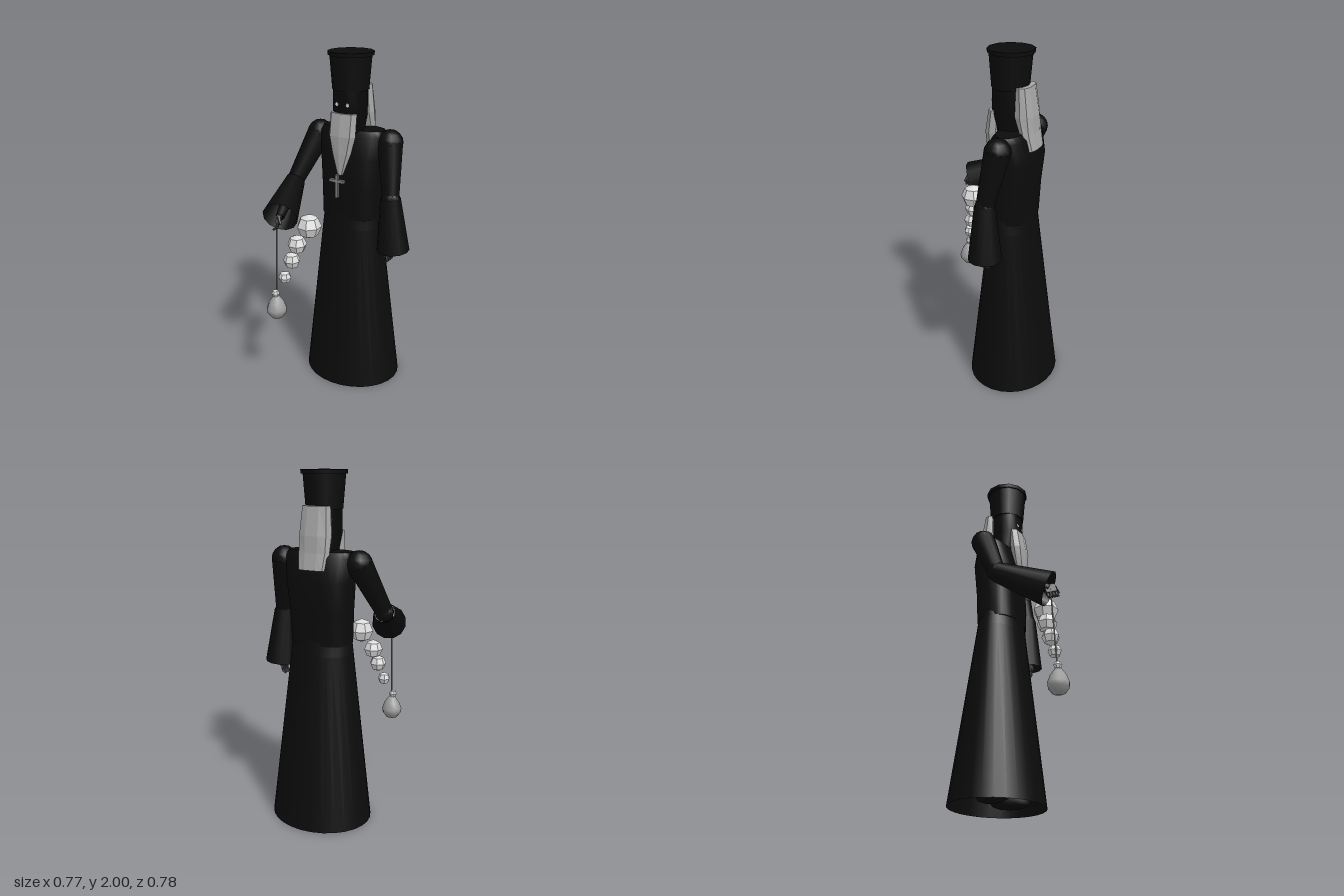
import * as THREE from 'three';

const V = (x, y, z) => new THREE.Vector3(x, y, z);

// Skin between elliptical rings, listed top to bottom as [y, centreZ, radiusX, radiusZ]
function loft(rings, n, { power = 1, top = true, bottom = true } = {}) {
  const pos = [], idx = [];
  const bend = v => Math.sign(v) * Math.pow(Math.abs(v), power);
  const addRing = ([y, cz, rx, rz]) => {
    const start = pos.length / 3;
    for (let j = 0; j < n; j++) {
      const a = (j / n) * Math.PI * 2;
      pos.push(rx * bend(Math.cos(a)), y, cz + rz * bend(Math.sin(a)));
    }
    return start;
  };
  const starts = rings.map(addRing);
  for (let i = 0; i < rings.length - 1; i++) {
    for (let j = 0; j < n; j++) {
      const k = (j + 1) % n, a = starts[i], b = starts[i + 1];
      idx.push(a + j, a + k, b + j, a + k, b + k, b + j);
    }
  }
  const cap = (ring, up) => {
    const s = addRing(ring), c = pos.length / 3;
    pos.push(0, ring[0], ring[1]);
    for (let j = 0; j < n; j++) {
      const k = (j + 1) % n;
      idx.push(c, s + (up ? k : j), s + (up ? j : k));
    }
  };
  if (top) cap(rings[0], true);
  if (bottom) cap(rings[rings.length - 1], false);
  const g = new THREE.BufferGeometry();
  g.setAttribute('position', new THREE.Float32BufferAttribute(pos, 3));
  g.setIndex(idx);
  g.computeVertexNormals();
  return g;
}

export function createModel() {
  const root = new THREE.Group();
  const mat = (name, color, extra = {}) => {
    const m = new THREE.MeshStandardMaterial({ color, ...extra });
    m.name = name;
    return m;
  };
  const black = mat('black cloth', 0x0b0b0b, { side: THREE.DoubleSide });
  const faceMat = mat('dark face', 0x080808);
  const grey = mat('grey hair', 0xa6a6a6, { flatShading: true });
  const metal = mat('dull metal', 0x808080);
  const silver = mat('censer silver', 0x9c9c9c);
  const skin = mat('hand grey', 0x3c3c3c, { flatShading: true });
  const white = mat('smoke white', 0xdcdcdc, { flatShading: true });

  const add = (name, geo, material, p = V(0, 0, 0), parent = root) => {
    const m = new THREE.Mesh(geo, material);
    m.name = name;
    m.position.copy(p);
    parent.add(m);
    return m;
  };
  // Tapered tube from a to b
  const limb = (name, a, b, ra, rb, material, n = 10, open = false, parent = root) => {
    const d = b.clone().sub(a);
    const m = add(name, new THREE.CylinderGeometry(rb, ra, d.length(), n, 1, open), material,
      a.clone().add(b).multiplyScalar(0.5), parent);
    m.quaternion.setFromUnitVectors(V(0, 1, 0), d.normalize());
    return m;
  };

  // Robe
  add('skirt', loft([[1.1, -0.115, 0.175, 0.122], [1.0, -0.117, 0.188, 0.132], [0, -0.13, 0.3, 0.26]],
    28, { top: false, bottom: false }), black);
  add('torso', loft([
    [1.575, -0.13, 0.19, 0.075], [1.545, -0.13, 0.205, 0.1], [1.42, -0.13, 0.195, 0.13],
    [1.25, -0.12, 0.182, 0.125], [1.06, -0.115, 0.175, 0.122],
  ], 24, { power: 0.75 }), black);

  // Shoes under the hem
  for (const s of [-1, 1]) {
    const shoe = add(s > 0 ? 'leftShoe' : 'rightShoe', new THREE.SphereGeometry(1, 10, 6), black, V(s * 0.1, 0.05, -0.1));
    shoe.scale.set(0.05, 0.045, 0.12);
    shoe.rotation.y = s * 0.25;
    limb('leg', V(s * 0.09, 0.06, -0.15), V(s * 0.08, 0.95, -0.12), 0.04, 0.06, black, 8);
  }

  // Head, eyes, beard and hair
  add('head', loft([[1.83, -0.085, 0.092, 0.09], [1.66, -0.085, 0.09, 0.092], [1.58, -0.09, 0.08, 0.07],
    [1.5, -0.1, 0.08, 0.06]], 12, { power: 0.8 }), faceMat);
  for (const s of [-1, 1]) {
    const eye = add('eye', new THREE.SphereGeometry(0.011, 8, 6), white, V(s * 0.034, 1.722, 0.003));
    eye.scale.z = 0.4;
  }
  add('beard', loft([[1.675, -0.015, 0.084, 0.034], [1.55, 0.0, 0.084, 0.04], [1.45, 0.004, 0.058, 0.036],
    [1.33, 0.02, 0.016, 0.014]], 8, { power: 0.8 }), grey);
  add('hair', loft([[1.815, -0.178, 0.085, 0.038], [1.66, -0.188, 0.096, 0.055], [1.57, -0.208, 0.094, 0.04],
    [1.48, -0.235, 0.084, 0.028]], 10, { power: 0.8 }), grey);

  // Tall hat flaring to a rimmed crown
  add('hat', new THREE.CylinderGeometry(0.117, 0.102, 0.19, 12), black, V(0, 1.89, -0.088));
  add('hatRim', new THREE.CylinderGeometry(0.128, 0.126, 0.022, 12), black, V(0, 1.989, -0.09));

  // Cross on the chest
  const cross = new THREE.Group();
  cross.name = 'cross';
  root.add(cross);
  add('crossPost', new THREE.BoxGeometry(0.016, 0.135, 0.02), metal, V(0, 1.272, 0.056), cross);
  add('crossBar', new THREE.BoxGeometry(0.092, 0.016, 0.0205), metal, V(0, 1.303, 0.056), cross);

  // Hand: palm with curled fingers and thumb, hanging along -y
  const hand = (name, p, thumbSide) => {
    const g = new THREE.Group();
    g.name = name;
    g.position.copy(p);
    root.add(g);
    add('palm', new THREE.BoxGeometry(0.028, 0.05, 0.06), skin, V(0, 0, 0), g);
    for (let i = 0; i < 4; i++) {
      const z = -0.024 + i * 0.016;
      limb('finger', V(0, -0.02, z), V(-0.004, -0.052, z), 0.008, 0.008, skin, 6, false, g);
      limb('fingertip', V(-0.004, -0.052, z), V(-0.022, -0.066, z), 0.008, 0.005, skin, 6, false, g);
    }
    limb('thumb', V(0, 0.012, 0.028), V(thumbSide * 0.018, -0.026, 0.042), 0.01, 0.007, skin, 6, false, g);
    return g;
  };

  // Arms with flared open sleeves
  const arms = [
    ['left', V(0.232, 1.515, -0.13), V(0.272, 1.21, -0.075), V(0.292, 0.895, -0.085), 0.095],
    ['right', V(-0.232, 1.515, -0.13), V(-0.325, 1.235, 0.005), V(-0.238, 1.11, 0.282), 0.102],
  ];
  for (const [side, shoulder, elbow, cuff, flare] of arms) {
    add(side + 'Shoulder', new THREE.SphereGeometry(0.073, 12, 8), black, shoulder);
    limb(side + 'UpperArm', shoulder, elbow, 0.073, 0.05, black, 12);
    add(side + 'Elbow', new THREE.SphereGeometry(0.055, 10, 6), black, elbow);
    limb(side + 'Sleeve', elbow, cuff, 0.058, flare, black, 12, true);
    limb(side + 'Forearm', elbow, cuff, 0.045, 0.025, black, 8);
  }
  hand('leftHand', V(0.282, 0.89, -0.072), -1);
  const grip = hand('rightHand', V(-0.238, 1.105, 0.29), 1);
  grip.rotation.set(-0.3, 0.5, 0);

  // Censer on its chain
  limb('chain', V(-0.25, 1.1, 0.295), V(-0.25, 0.6, 0.326), 0.004, 0.004, metal, 6);
  const profile = [[0, 0.485], [0.035, 0.495], [0.057, 0.525], [0.06, 0.55], [0.045, 0.59], [0.02, 0.625], [0, 0.632]];
  add('censer', new THREE.LatheGeometry(profile.map(p => new THREE.Vector2(...p)), 10), silver, V(-0.25, 0, 0.328));

  // Trail of smoke puffs growing as they rise
  const puffs = [
    [-0.255, 0.645, 0.328, 0.024], [-0.207, 0.748, 0.295, 0.038], [-0.178, 0.85, 0.263, 0.05],
    [-0.158, 0.945, 0.235, 0.057], [-0.094, 1.06, 0.203, 0.072],
  ];
  puffs.forEach(([x, y, z, r], i) => {
    const puff = add('smokePuff', new THREE.SphereGeometry(r, 7, 4), white, V(x, y, z));
    puff.rotation.y = i * 0.7;
  });
  return root;
}
